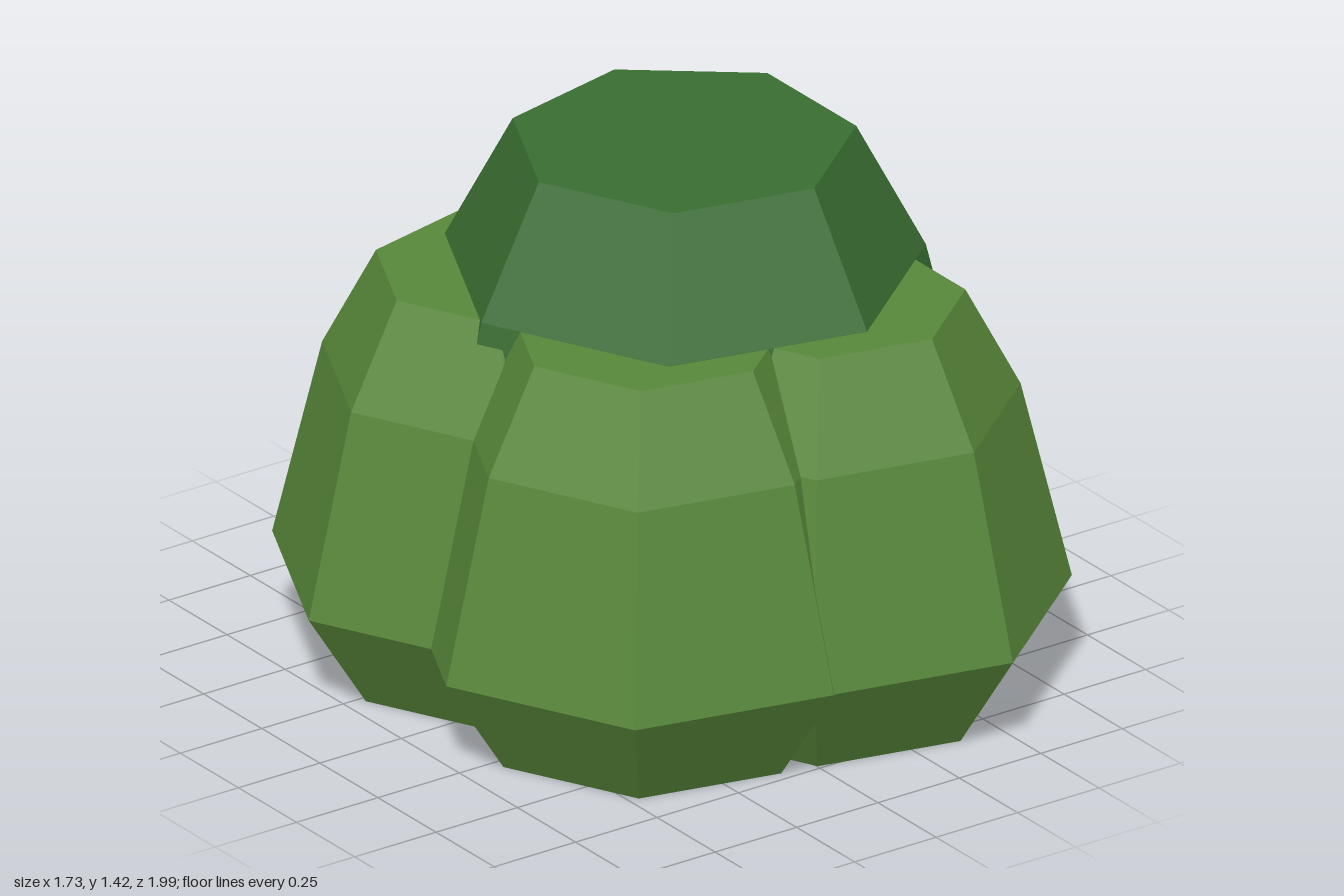
import * as THREE from 'three';

const leafLight = new THREE.MeshStandardMaterial({ color: 0x58883a, flatShading: true });
leafLight.name = 'light leaf green';
const leafDark = new THREE.MeshStandardMaterial({ color: 0x396d31, flatShading: true });
leafDark.name = 'dark leaf green';
const berryRed = new THREE.MeshStandardMaterial({ color: 0xa03a28, flatShading: true });
berryRed.name = 'berry red';

// Faceted closed solid turned from [radius, height] pairs, with one corner on -x
function faceted(name, profile, sides, material, x, y, z, scale = 1) {
  const points = profile.map(([r, h]) => new THREE.Vector2(r * scale, h * scale));
  points.unshift(new THREE.Vector2(0, points[0].y));
  points.push(new THREE.Vector2(0, points[points.length - 1].y));
  const geometry = new THREE.LatheGeometry(points, sides, -Math.PI / 2);
  const mesh = new THREE.Mesh(geometry, material);
  mesh.name = name;
  mesh.position.set(x, y, z);
  return mesh;
}

// Leaf clump: narrow foot, wide belly, shoulder, flat top
const clumpProfile = [[0.445, 0], [0.62, 0.27], [0.49, 0.81], [0.35, 1.08]];
// Berry: short drum with bevelled ends
const berryProfile = [[0.04, -0.065], [0.06, -0.04], [0.06, 0.04], [0.04, 0.065]];

export function createModel() {
  const bush = new THREE.Group();
  bush.name = 'bush';

  // Four clumps on the ground and a larger one in the middle
  const clumps = [
    ['frontLeftClump', leafLight, 0.28, 0, 0.39, 1],
    ['frontRightClump', leafLight, -0.195, 0, 0.285, 1],
    ['backRightClump', leafLight, -0.25, 0, -0.23, 1],
    ['backLeftClump', leafDark, 0.303, 0, -0.395, 1],
    ['topClump', leafDark, 0.113, 0.06, 0, 1.26],
  ];
  for (const [name, material, x, y, z, scale] of clumps) {
    bush.add(faceted(name, clumpProfile, 7, material, x, y, z, scale));
  }

  // Single berry on the left side
  bush.add(faceted('berry', berryProfile, 5, berryRed, 0.803, 0.84, 0));
  return bush;
}
